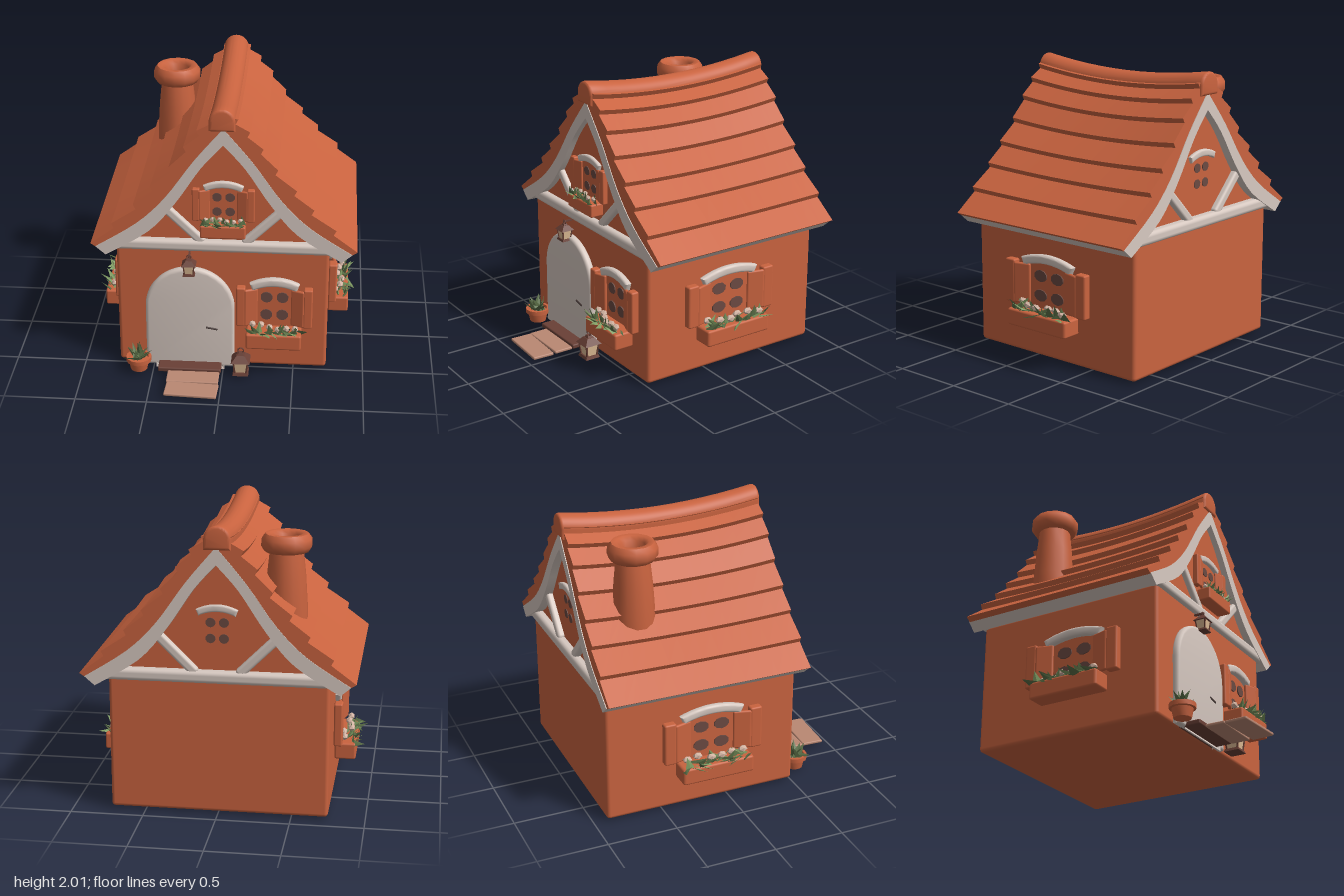
import * as THREE from 'three';
import { toCreasedNormals } from 'three/addons/utils/BufferGeometryUtils.js';
import { RoundedBoxGeometry } from 'three/addons/geometries/RoundedBoxGeometry.js';

const paint = (name, color) => Object.assign(new THREE.MeshStandardMaterial({ color }), { name });
const terracotta = paint('terracotta', 0xc9633f);
const plaster = paint('plaster trim', 0xd6c8c0);
const pane = paint('window pane', 0x6b4a42);
const stone = paint('stone step', 0xba8873);
const brown = paint('dark brown', 0x6a4036);
const glow = paint('lamp glass', 0xe0bd96);
const leafGreen = paint('leaf green', 0x7f9b62);
const deepGreen = paint('deep green', 0x5c7048);
const petal = paint('petal', 0xd2b3a2);
const iron = paint('iron', 0x51423f);

let seed = 7;
const rand = (a, b) => {
  seed = (seed * 16807) % 2147483647;
  return a + (b - a) * seed / 2147483647;
};

function add(parent, name, geo, mat, x = 0, y = 0, z = 0) {
  const m = new THREE.Mesh(geo, mat);
  m.name = name;
  m.position.set(x, y, z);
  parent.add(m);
  return m;
}
function group(parent, name, x = 0, y = 0, z = 0) {
  const g = new THREE.Group();
  g.name = name;
  g.position.set(x, y, z);
  parent.add(g);
  return g;
}
const rbox = (w, h, d, r = 0.012) => new RoundedBoxGeometry(w, h, d, 2, r);

// extrusion with a soft edge that stays inside the outline
function soft(shape, depth, bevel, steps = 1, crease = 0.7) {
  const g = new THREE.ExtrudeGeometry(shape, {
    depth: depth - 2 * bevel, steps, curveSegments: 14, bevelEnabled: bevel > 0,
    bevelSize: bevel, bevelThickness: bevel, bevelOffset: -bevel, bevelSegments: 3,
  });
  g.translate(0, 0, bevel);
  return toCreasedNormals(g, crease);
}

// doorway outline: straight jambs and a round head
function archPath(half, bottom, spring, Type = THREE.Shape) {
  const p = new Type();
  p.moveTo(-half, bottom);
  p.lineTo(half, bottom);
  p.lineTo(half, spring);
  p.absarc(0, spring, half, 0, Math.PI, false);
  p.lineTo(-half, bottom);
  return p;
}
function archFrame(outer, inner, bottom, innerBottom, spring) {
  const s = archPath(outer, bottom, spring);
  s.holes.push(archPath(inner, innerBottom, spring, THREE.Path));
  return s;
}

// sagging ridge and slightly flared eaves
function sag(geo) {
  const p = geo.attributes.position;
  for (let i = 0; i < p.count; i++) {
    const y = p.getY(i), z = p.getZ(i);
    const t = (z + 0.22) / 0.74;
    p.setY(i, y - 0.06 * (1 - Math.min(1, t * t)) * Math.max(0, y - 0.95));
    p.setZ(i, -0.2 + (z + 0.2) * (1 + 0.025 * (2 - y)));
  }
  geo.computeVertexNormals();
  return toCreasedNormals(geo, 0.6);
}

const mirrored = pts => [...pts, ...pts.slice().reverse().map(([x, y]) => [-x, y])];
const shapeOf = pts => new THREE.Shape(pts.map(([x, y]) => new THREE.Vector2(x, y)));
const spline = pts => new THREE.SplineCurve(pts.map(([x, y]) => new THREE.Vector2(x, y)))
  .getPoints(16).map(v => [v.x, v.y]);

// pointed leaves scattered over a strip
function leaves(parent, n, halfW, len, x, y, z, lean) {
  for (let i = 0; i < n; i++) {
    const g = new THREE.ConeGeometry(len * 0.3, len, 4).translate(0, len * 0.5, 0).scale(1, 1, 0.3);
    const m = add(parent, 'leaf', g.toNonIndexed(), i % 3 ? leafGreen : deepGreen,
      x + halfW * (n > 1 ? (2 * i / (n - 1) - 1) : 0), y, z + rand(-0.03, 0.03));
    m.geometry.computeVertexNormals();
    m.rotation.set(lean + rand(-0.9, 0.5), rand(-0.6, 0.6), rand(-1, 1));
  }
}

// window facing +z, with its origin on the wall at the top of the flower box
function makeWindow(parent, name, dressed) {
  const w = group(parent, name);
  for (const x of [-0.056, 0.056]) for (const y of [0.09, 0.23])
    add(w, 'pane', new THREE.CylinderGeometry(0.042, 0.042, 0.008, 10).rotateX(Math.PI / 2), pane, x, y, 0.01);
  const head = new THREE.Shape();
  head.moveTo(-0.155, 0.29);
  head.quadraticCurveTo(0, 0.365, 0.155, 0.29);
  head.lineTo(0.175, 0.345);
  head.quadraticCurveTo(0, 0.435, -0.175, 0.345);
  add(w, 'windowHead', soft(head, 0.05, 0.016), plaster, 0, 0, -0.008);
  if (!dressed) return w;
  for (const s of [-1, 1]) {
    const panel = add(w, 'shutterPanel', rbox(0.1, 0.29, 0.025), terracotta, s * 0.165, 0.16, 0.035);
    panel.rotation.y = -s * 0.35;
    add(w, 'shutterStile', rbox(0.065, 0.31, 0.06), terracotta, s * 0.236, 0.165, 0.03);
  }
  add(w, 'flowerBox', rbox(0.39, 0.12, 0.15, 0.015), terracotta, 0, -0.06, 0.075);
  leaves(w, 22, 0.17, 0.1, 0, -0.01, 0.1, 0.85);
  for (let i = 0; i < 6; i++)
    add(w, 'flower', new THREE.IcosahedronGeometry(0.026, 0), petal,
      -0.15 + i * 0.06, 0.028 + rand(0, 0.012), 0.07 + rand(-0.02, 0.05));
  return w;
}

function lantern(parent, name, x, y, z, s) {
  const g = group(parent, name, x, y, z);
  const four = (top, bottom, h) => new THREE.CylinderGeometry(top, bottom, h, 4).rotateY(Math.PI / 4).toNonIndexed();
  const part = (n, geo, mat, py) => { geo.computeVertexNormals(); return add(g, n, geo, mat, 0, py, 0); };
  part('lanternBase', four(0.07, 0.08, 0.02), brown, 0.01);
  part('lanternGlass', four(0.07, 0.054, 0.09), glow, 0.065);
  for (const a of [-1, 1]) for (const b of [-1, 1]) {
    const post = add(g, 'lanternPost', new THREE.BoxGeometry(0.011, 0.095, 0.011), brown, a * 0.045, 0.065, b * 0.045);
    post.rotation.set(b * 0.12, 0, -a * 0.12);
  }
  part('lanternRoof', four(0.04, 0.095, 0.045), brown, 0.13);
  part('lanternCap', four(0.02, 0.035, 0.02), brown, 0.16);
  add(g, 'lanternRing', new THREE.TorusGeometry(0.02, 0.005, 6, 12), brown, 0, 0.183, 0);
  g.scale.setScalar(s);
}

export function createModel() {
  const house = new THREE.Group();
  house.name = 'cottage';

  // walls and gable
  add(house, 'walls', rbox(1.485, 0.94, 1.41, 0.025), terracotta, -0.0075, 0.48, -0.205);
  const gable = mirrored([[0.78, 0.94], [0.5, 1.12], [0.33, 1.34], [0.15, 1.61], [0, 1.79]]);
  add(house, 'gableWall', soft(shapeOf(gable), 1.36, 0), terracotta, 0, 0, -0.88);

  // curved roof lining that shows as bargeboards at both ends
  const outer = spline([[0, 1.86], [0.2, 1.62], [0.4, 1.34], [0.6, 1.14], [0.89, 0.95]]);
  const inner = spline([[0.82, 0.89], [0.52, 1.08], [0.33, 1.3], [0.15, 1.57], [0, 1.74]]);
  const half = [...outer, ...inner];
  for (const s of [1, -1]) {
    const board = shapeOf(half.map(([x, y]) => [x * s, y]));
    add(house, 'bargeboard', sag(soft(board, 1.465, 0, 10)), plaster, 0, 0, 0).geometry.translate(0, 0, 0);
  }
  house.children.filter(c => c.name === 'bargeboard').forEach(c => { c.position.z = 0; });

  // shingled roof slopes with a saw-tooth section
  const tips = [[0.1, 1.93], [0.18, 1.84], [0.27, 1.72], [0.37, 1.57], [0.5, 1.42], [0.62, 1.28], [0.775, 1.13], [0.925, 0.97]];
  const slope = [[0, 1.95]];
  tips.forEach(([x, y], i) => {
    slope.push([x, y]);
    if (i < tips.length - 1) slope.push([x - 0.018, y - 0.035]);
  });
  slope.push([0.885, 0.945], [0.6, 1.13], [0.4, 1.33], [0.2, 1.61], [0, 1.85]);
  const along = (shape, z0, z1) => {
    const g = new THREE.ExtrudeGeometry(shape, { depth: z1 - z0, steps: 12, bevelEnabled: false });
    return sag(g.translate(0, 0, z0));
  };
  house.children.filter(c => c.name === 'bargeboard').forEach((c, i) => {
    const s = i ? -1 : 1;
    c.geometry = along(shapeOf(half.map(([x, y]) => [x * s, y])), -0.93, 0.515);
  });
  for (const s of [1, -1])
    add(house, 'roofSlope', along(shapeOf(slope.map(([x, y]) => [x * s, y])), -0.925, 0.51), terracotta);

  // rounded ridge cap
  const ridge = new THREE.Shape();
  ridge.moveTo(-0.09, 1.84);
  ridge.lineTo(0.09, 1.84);
  ridge.lineTo(0.09, 1.91);
  ridge.absarc(0, 1.91, 0.09, 0, Math.PI, false);
  add(house, 'ridgeCap', sag(soft(ridge, 1.47, 0.02, 12).translate(0, 0, -0.945)), terracotta, -0.008, 0, 0);

  // timbers across each gable end
  for (const z of [0.485, -0.895]) {
    add(house, 'tieBeam', rbox(1.6, 0.085, 0.09, 0.03), plaster, 0, 0.97, z);
    for (const s of [-1, 1]) {
      const brace = add(house, 'brace', rbox(0.065, 0.36, 0.06, 0.02), plaster, s * 0.27, 1.12, z);
      brace.rotation.z = -s * 0.79;
    }
  }

  // windows
  const front = makeWindow(house, 'frontWindow', true);
  front.position.set(0.36, 0.35, 0.5);
  const sideL = makeWindow(house, 'leftWindow', true);
  sideL.position.set(0.735, 0.36, -0.165);
  sideL.rotation.y = Math.PI / 2;
  const sideR = makeWindow(house, 'rightWindow', true);
  sideR.position.set(-0.75, 0.36, -0.14);
  sideR.rotation.y = -Math.PI / 2;
  for (const w of [sideL, sideR]) w.scale.x = 1.36;
  const attic = makeWindow(house, 'atticWindow', true);
  attic.position.set(0, 1.16, 0.48);
  attic.scale.set(0.8, 0.78, 0.68);
  const rear = makeWindow(house, 'rearAtticWindow', false);
  rear.position.set(0, 1.16, -0.88);
  rear.rotation.y = Math.PI;
  rear.scale.set(0.8, 0.78, 0.68);

  // doorway
  const door = group(house, 'doorway', -0.235, 0, 0.5);
  add(door, 'doorLeaf', soft(archPath(0.235, 0.02, 0.49), 0.02, 0), terracotta, 0, 0, -0.005);
  add(door, 'doorSurround', soft(archFrame(0.315, 0.225, 0.012, 0.012, 0.49), 0.06, 0.022), plaster, 0, 0, -0.01);
  add(door, 'doorWindowFrame', soft(archFrame(0.105, 0.062, 0.42, 0.455, 0.545), 0.04, 0.012), terracotta, 0, 0, 0.005);
  add(door, 'doorPane', soft(archPath(0.068, 0.45, 0.545), 0.006, 0), pane, 0, 0, 0.014);
  add(door, 'handlePlate', new THREE.SphereGeometry(0.03, 10, 8).scale(1, 1.2, 0.5), iron, 0.185, 0.33, 0.02);
  const lever = add(door, 'handleLever', new THREE.CapsuleGeometry(0.01, 0.07, 4, 8), iron, 0.155, 0.33, 0.045);
  lever.rotation.z = 1.4;

  // threshold and stepping stones
  add(house, 'threshold', rbox(0.45, 0.035, 0.16, 0.01), brown, -0.235, 0.03, 0.57);
  add(house, 'steppingStone', rbox(0.37, 0.022, 0.14, 0.008), stone, -0.203, 0.021, 0.72);
  add(house, 'steppingStone', rbox(0.37, 0.022, 0.16, 0.008), stone, -0.2, 0.021, 0.878).rotation.y = -0.05;

  // lanterns
  lantern(house, 'groundLantern', 0.13, 0.005, 0.6, 1);
  lantern(house, 'hangingLantern', -0.235, 0.775, 0.565, 0.74);
  add(house, 'lanternBracket', new THREE.BoxGeometry(0.012, 0.012, 0.08), brown, -0.235, 0.915, 0.535);

  // potted plant
  const pot = group(house, 'pottedPlant', -0.6, 0.008, 0.6);
  const potProfile = [[0, 0], [0.06, 0], [0.073, 0.065], [0.09, 0.068], [0.09, 0.1], [0.07, 0.1], [0.066, 0.08], [0, 0.08]];
  add(pot, 'pot', toCreasedNormals(new THREE.LatheGeometry(potProfile.map(p => new THREE.Vector2(...p)), 14), 0.6), terracotta);
  for (let i = 0; i < 12; i++) {
    const spin = group(pot, 'leafStem', 0, 0.08, 0);
    spin.rotation.y = i * 2.4;
    leaves(spin, 1, 0, 0.12, 0, 0, 0, i < 7 ? 1.15 : 0.55);
  }

  // chimney with a rounded rim
  const stack = [[0.15, 1.2], [0.145, 1.4], [0.132, 1.6], [0.115, 1.76], [0.15, 1.765], [0.172, 1.8],
    [0.17, 1.85], [0.145, 1.885], [0.11, 1.885], [0.085, 1.86], [0.08, 1.78]];
  add(house, 'chimney', toCreasedNormals(new THREE.LatheGeometry(stack.map(p => new THREE.Vector2(...p)), 14), 0.9),
    terracotta, -0.42, 0, -0.565);
  add(house, 'flue', new THREE.CircleGeometry(0.085, 14).rotateX(-Math.PI / 2), plaster, -0.42, 1.8, -0.565);

  return house;
}
